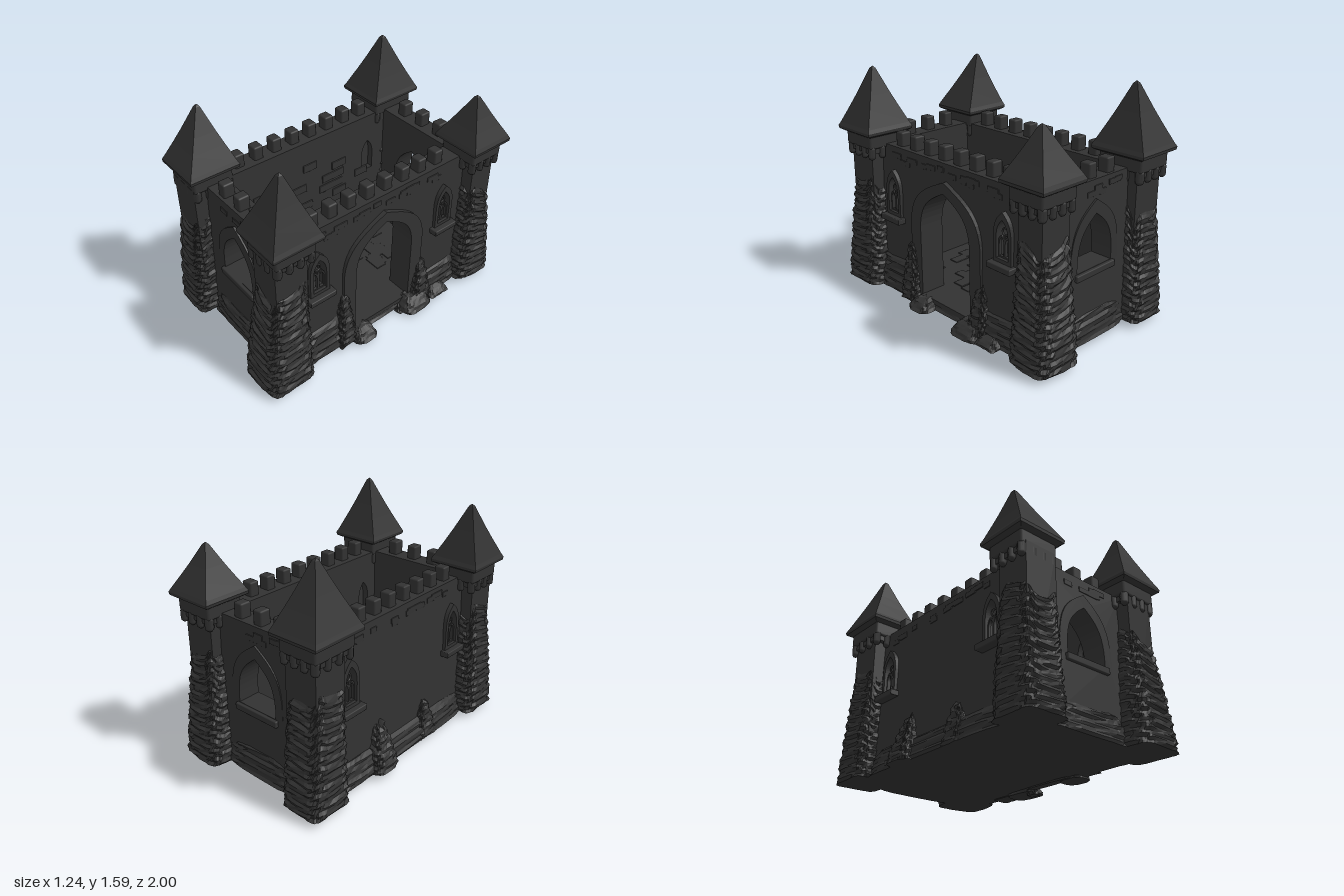
import * as THREE from 'three';
import { RoundedBoxGeometry } from 'three/addons/geometries/RoundedBoxGeometry.js';

const stone = new THREE.MeshStandardMaterial({ color: 0x323232 });
stone.name = 'darkStone';

let seed = 7;
const rand = () => (seed = (seed * 16807) % 2147483647) / 2147483647;

function flat(geo) {
  const g = geo.index ? geo.toNonIndexed() : geo;
  g.computeVertexNormals();
  return g;
}

function add(parent, name, geo, x = 0, y = 0, z = 0) {
  const m = new THREE.Mesh(geo, stone);
  m.name = name;
  m.position.set(x, y, z);
  parent.add(m);
  return m;
}

const block = (p, name, w, h, d, x, y, z) =>
  add(p, name, new RoundedBoxGeometry(w, h, d, 1, Math.min(w, h, d) * 0.15), x, y, z);

// Rough stacked stone, lofted from a foot to a top [x, z, half width, half depth, y]
function rocks(p, name, foot, top, amp = 0.009) {
  const rows = Math.max(4, Math.round((top[4] - foot[4]) / 0.02)), cols = 48;
  const pos = [], idx = [];
  const phase = rand() * 6;
  for (let r = 0; r <= rows; r++) {
    const t = r / rows;
    const [cx, cz, hx, hz, y] = foot.map((f, i) => f + (top[i] - f) * (i < 4 ? t ** 1.3 : t));
    for (let c = 0; c < cols; c++) {
      const a = (c / cols) * Math.PI * 2;
      const ca = Math.cos(a), sa = Math.sin(a);
      // Alternate courses stand proud and sink back, broken up around the ring
      const course = (r % 2 ? 1 : -1) * Math.sin(a * 4 + Math.floor(r / 2) * 1.9 + phase);
      const d = amp * (course * 0.7 + (rand() - 0.5) * 0.7) - (r === rows ? 0.015 : 0);
      const wave = 0.05 * Math.sin(a * 2 + phase) + 0.03 * Math.sin(a * 5 + phase * 2);
      pos.push(
        cx + Math.sign(ca) * Math.sqrt(Math.abs(ca)) * (hx + d),
        y + (top[4] - foot[4]) * t * wave,
        cz + Math.sign(sa) * Math.sqrt(Math.abs(sa)) * (hz + d));
    }
  }
  const cap = pos.length / 3;
  pos.push(top[0], top[4], top[1], foot[0], foot[4], foot[1]);
  for (let c = 0; c < cols; c++) {
    const n = (c + 1) % cols;
    for (let r = 0; r < rows; r++) {
      const a = r * cols + c, b = r * cols + n;
      idx.push(a, a + cols, b, b, a + cols, b + cols);
    }
    idx.push(rows * cols + c, cap, rows * cols + n, c, n, cap + 1);
  }
  const g = new THREE.BufferGeometry();
  g.setAttribute('position', new THREE.Float32BufferAttribute(pos, 3));
  g.setIndex(idx);
  add(p, name, flat(g));
}

// Pointed arch outline
function arch(C, u, hw, y0, spring, apex) {
  const s = new C();
  const h = apex - spring, y1 = spring + h * 0.57, y2 = spring + h * 0.75;
  s.moveTo(u - hw, y0);
  s.lineTo(u + hw, y0);
  s.lineTo(u + hw, spring);
  s.bezierCurveTo(u + hw * 0.95, y1, u + hw * 0.62, y2, u, apex);
  s.bezierCurveTo(u - hw * 0.62, y2, u - hw * 0.95, y1, u - hw, spring);
  s.closePath();
  return s;
}

const slab = (shape, depth) =>
  new THREE.ExtrudeGeometry(shape, { depth, bevelEnabled: false, curveSegments: 10 });

function archFrame(p, name, outer, inner, depth, z) {
  const s = arch(THREE.Shape, ...outer);
  s.holes.push(arch(THREE.Path, ...inner));
  add(p, name, slab(s, depth), 0, 0, z);
}

// One wall in its own frame: outward is +z, u runs along x
function wall(root, name, angle, inner, half, thick, openings, merlons, step) {
  const g = new THREE.Group();
  g.name = name;
  g.rotation.y = angle;
  root.add(g);
  const s = new THREE.Shape();
  s.moveTo(-half, 0.06);
  s.lineTo(half, 0.06);
  s.lineTo(half, 1.08);
  s.lineTo(-half, 1.08);
  s.closePath();
  openings.forEach(o => s.holes.push(arch(THREE.Path, ...o)));
  const geo = slab(s, thick);
  // Outer face leans out toward the foot
  const p = geo.attributes.position;
  for (let i = 0; i < p.count; i++)
    if (p.getZ(i) > thick / 2) p.setZ(i, thick + 0.03 * (1.08 - p.getY(i)));
  add(g, 'wallBody', flat(geo), 0, 0, inner);
  for (let i = 0; i < merlons; i++)
    block(g, 'merlon', 0.07, 0.12, 0.08, (i - (merlons - 1) / 2) * step, 1.115, inner + 0.08);
  // Scattered bricks standing slightly proud, high on the wall
  for (let i = 0; i < merlons * 2; i++)
    block(g, 'proudBrick', 0.05 + rand() * 0.05, 0.035, 0.014,
      (rand() - 0.5) * (half - 0.1) * 1.7, 0.985 + rand() * 0.05, inner + thick);
  return g;
}

// Narrow lancet window with tracery, ledge and closed back
function lancet(g, u, face) {
  archFrame(g, 'lancetFrame', [u, 0.075, 0.59, 0.76, 0.92], [u, 0.05, 0.62, 0.75, 0.87], 0.035, face - 0.015);
  add(g, 'lancetBack', slab(arch(THREE.Shape, u, 0.055, 0.6, 0.75, 0.875), 0.05), 0, 0, face - 0.12);
  block(g, 'lancetMullion', 0.014, 0.16, 0.02, u, 0.69, face - 0.01);
  add(g, 'lancetRing', new THREE.TorusGeometry(0.024, 0.007, 5, 12), u, 0.79, face - 0.01);
  for (const s of [-1, 1])
    archFrame(g, 'lancetLight', [u + s * 0.025, 0.027, 0.62, 0.71, 0.765],
      [u + s * 0.025, 0.018, 0.63, 0.705, 0.75], 0.02, face - 0.02);
  block(g, 'lancetSill', 0.2, 0.04, 0.08, u, 0.575, face + 0.02);
}

// Four-sided spire, with its own height and a tip that may lean
function spire(x, z, hx, hz, height, dx, dz) {
  const prof = [[0.001, 1.14], [0.85, 1.145], [0.985, 1.16], [1, 1.18], [0.93, 1.205],
    [0.65, 1.32], [0.44, 1.41], [0.08, 1.575], [0.005, 1.59]];
  const geo = new THREE.LatheGeometry(prof.map(q => new THREE.Vector2(q[0] * Math.SQRT2, q[1])), 4);
  geo.rotateY(Math.PI / 4);
  const p = geo.attributes.position;
  for (let i = 0; i < p.count; i++) {
    const y = p.getY(i), t = Math.max(0, (y - 1.2) / 0.39);
    p.setXYZ(i, x + p.getX(i) * hx + dx * t, t ? 1.2 + t * (height - 1.2) : y, z + p.getZ(i) * hz + dz * t);
  }
  return flat(geo);
}

// Corner tower: body [x, z, w, d], roof [x, z, hx, hz, height, lean x, lean z], rubble foot and its top
function tower(root, name, body, roof, foot, rockTop) {
  const g = new THREE.Group();
  g.name = name;
  root.add(g);
  const [x, z, w, d] = body;
  const [rx, rz, hx, hz] = roof;
  const hw = hx - 0.037, hd = hz - 0.037;
  add(g, 'towerBody', new THREE.BoxGeometry(w, 1.0, d), x, 0.58, z);
  block(g, 'towerHead', hw * 2, 0.1, hd * 2, rx, 1.105, rz);
  const corbel = new THREE.CapsuleGeometry(0.025, 0.05, 3, 6);
  for (const s of [-1, 1])
    for (let i = 0; i < 4; i++) {
      const k = (i - 1.5) / 1.5;
      add(g, 'corbel', corbel, rx + k * (hw - 0.025), 1.03, rz + s * (hd - 0.02));
      add(g, 'corbel', corbel, rx + s * (hw - 0.02), 1.03, rz + k * (hd - 0.025));
    }
  add(g, 'corbelCourse', new THREE.BoxGeometry(hw * 2 - 0.03, 0.05, hd * 2 - 0.03), rx, 1.045, rz);
  add(g, 'spireRoof', spire(...roof));
  rocks(g, 'towerRubble', foot, [x, z, w / 2 + 0.01, d / 2 + 0.01, rockTop], 0.011);
}

export function createModel() {
  const root = new THREE.Group();
  root.name = 'castle';

  // Ground slab and paving
  add(root, 'floorSlab', new THREE.BoxGeometry(0.94, 0.06, 1.64), 0, 0.07, -0.01);
  for (let i = 0; i < 36; i++)
    block(root, 'pavingStone', 0.07 + rand() * 0.06, 0.014, 0.06 + rand() * 0.06,
      (rand() - 0.5) * 0.46, 0.1, (rand() - 0.5) * 1.2);

  // End walls with an open pointed window
  const win = [0, 0.16, 0.52, 0.59, 0.87];
  for (const [name, angle, inner] of [['frontWall', 0, 0.65], ['backWall', Math.PI, 0.69]]) {
    const g = wall(root, name, angle, inner, 0.36, 0.14, [win], 3, 0.168);
    archFrame(g, 'windowFrame', [0, 0.22, 0.5, 0.62, 0.96], win, 0.022, inner + 0.135);
    block(g, 'windowSill', 0.36, 0.045, 0.1, 0, 0.495, inner + 0.13);
  }

  // Gate wall, and the closed wall facing it
  const lanc = u => [u, 0.05, 0.62, 0.75, 0.87];
  const gate = [0.01, 0.24, 0.1, 0.6, 0.89];
  const right = wall(root, 'gateWall', Math.PI / 2, 0.3, 0.72, 0.15,
    [gate, lanc(-0.52), lanc(0.54)], 8, 0.146);
  archFrame(right, 'gateFrame', [0.01, 0.34, 0.07, 0.61, 0.965], gate, 0.04, 0.445);
  lancet(right, -0.52, 0.465);
  lancet(right, 0.54, 0.465);
  const left = wall(root, 'plainWall', -Math.PI / 2, 0.31, 0.72, 0.15,
    [lanc(-0.54), lanc(0.52)], 8, 0.146);
  lancet(left, -0.54, 0.475);
  lancet(left, 0.52, 0.475);
  // Bricks on the inner face seen through the gate
  for (let i = 0; i < 24; i++)
    block(left, 'innerBrick', 0.09 + rand() * 0.06, 0.06, 0.016,
      (rand() - 0.5) * 1.0, 0.15 + 0.08 * Math.floor(rand() * 10), 0.31);

  // Four corner towers, the one at back left being shorter and slimmer
  tower(root, 'frontRightTower', [-0.43, 0.77, 0.235, 0.225], [-0.44, 0.74, 0.178, 0.178, 1.57, -0.028, -0.035],
    [-0.46, 0.79, 0.157, 0.165, 0.04], 0.82);
  tower(root, 'frontLeftTower', [0.437, 0.77, 0.215, 0.225], [0.436, 0.755, 0.181, 0.177, 1.59, 0.004, -0.01],
    [0.43, 0.815, 0.18, 0.175, 0.04], 0.8);
  tower(root, 'backRightTower', [-0.43, -0.78, 0.235, 0.24], [-0.44, -0.77, 0.177, 0.2, 1.59, 0.005, 0.005],
    [-0.45, -0.815, 0.155, 0.165, 0.04], 0.8);
  tower(root, 'backLeftTower', [0.427, -0.815, 0.225, 0.185], [0.432, -0.805, 0.178, 0.167, 1.49, 0.005, 0.01],
    [0.43, -0.835, 0.17, 0.16, 0.04], 0.8);

  // Rubble skirts along the wall feet: centre, half sizes, height
  for (const [x, z, hx, hz, h] of [
    [0, 0.765, 0.36, 0.085, 0.23], [0, -0.795, 0.36, 0.085, 0.23],
    [0.435, 0.5, 0.09, 0.2, 0.28], [0.435, -0.53, 0.09, 0.2, 0.24], [-0.455, 0, 0.092, 0.7, 0.2]])
    rocks(root, 'footRubble', [x, z, hx, hz, 0.04], [x * 0.97, z * 0.98, hx * 0.72, hz * 0.95, h]);

  // Rock piles beside the gate and against the plain wall, leaning inward
  for (const [x, z, hx, hz, h, tx] of [
    [0.49, 0.33, 0.06, 0.075, 0.44, 0.46], [0.49, -0.35, 0.06, 0.08, 0.36, 0.46],
    [-0.51, -0.27, 0.085, 0.11, 0.36, -0.47], [-0.49, 0.22, 0.06, 0.1, 0.3, -0.47]])
    rocks(root, 'rockPile', [x, z, hx, hz, 0.04], [tx, z, 0.03, 0.035, h]);

  // Low loose stones at ground level
  for (const [x, z, hx, hz, y0, y1] of [
    [0.52, 0.19, 0.075, 0.09, 0.025, 0.1], [0.52, -0.28, 0.085, 0.12, 0.02, 0.11],
    [0.53, -0.48, 0.065, 0.09, 0.035, 0.09], [0.5, -0.18, 0.03, 0.04, 0, 0.06],
    [0.46, 0.0, 0.03, 0.22, 0.03, 0.09]])
    rocks(root, 'looseStone', [x, z, hx, hz, y0], [x - 0.03, z, hx * 0.6, hz * 0.6, y1], 0.006);
  return root;
}
